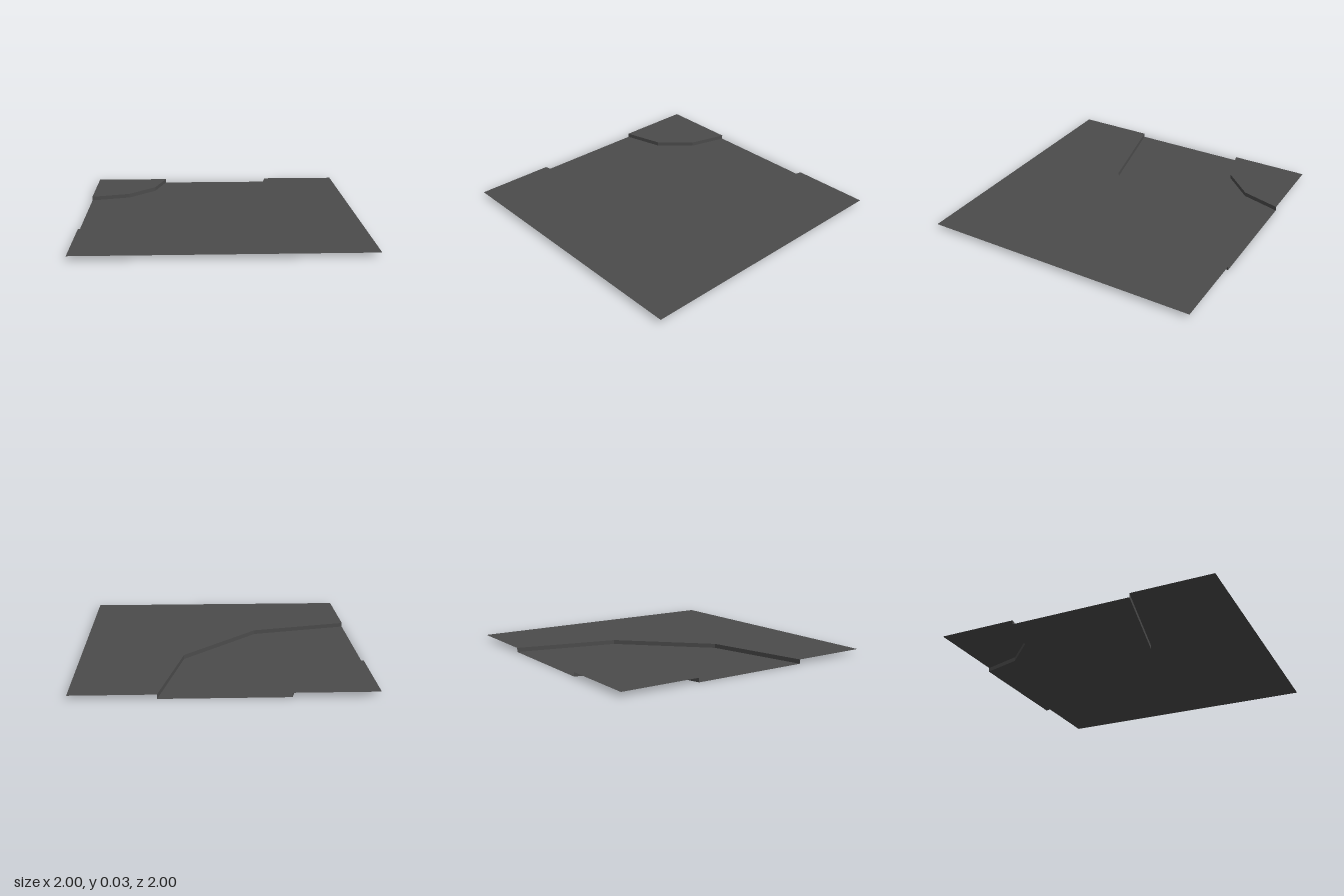
import * as THREE from 'three';

const HEIGHT = 0.03;

// Kerb lines as [x, z], running from the -x edge to the -z edge
const innerKerb = [[-1, -0.43], [-0.71, -0.51], [-0.51, -0.72], [-0.43, -1]];
const outerKerb = [[-1, 0.43], [-0.28, 0.265], [0.265, -0.28], [0.43, -1]];

// Flat sheet facing up, outlined by [x, z] points
function sheet(points, y) {
  const shape = new THREE.Shape(points.map(([x, z]) => new THREE.Vector2(x, -z)));
  return new THREE.ShapeGeometry(shape).rotateX(-Math.PI / 2).translate(0, y, 0);
}

// Vertical strip along a line of [x, z] points, one flat face per segment
function wall(points) {
  const pos = [];
  for (let i = 0; i < points.length - 1; i++) {
    const [ax, az] = points[i];
    const [bx, bz] = points[i + 1];
    pos.push(ax, 0, az, bx, 0, bz, bx, HEIGHT, bz);
    pos.push(ax, 0, az, bx, HEIGHT, bz, ax, HEIGHT, az);
  }
  const geo = new THREE.BufferGeometry();
  geo.setAttribute('position', new THREE.Float32BufferAttribute(pos, 3));
  geo.computeVertexNormals();
  return geo;
}

export function createModel() {
  const group = new THREE.Group();
  group.name = 'roadCorner';
  const asphalt = new THREE.MeshStandardMaterial({ color: 0x4b4b4b, side: THREE.DoubleSide });
  asphalt.name = 'asphaltGrey';

  const add = (name, geometry) => {
    const mesh = new THREE.Mesh(geometry, asphalt);
    mesh.name = name;
    group.add(mesh);
  };

  // Sunken road bend between the two kerbs
  add('road', sheet([...outerKerb, ...[...innerKerb].reverse()], 0));

  // Raised pavements on the inside and outside of the bend
  add('innerPavement', sheet([...innerKerb, [-1, -1]], HEIGHT));
  add('outerPavement', sheet([...outerKerb, [1, -1], [1, 1], [-1, 1]], HEIGHT));

  // Kerb faces, both looking onto the road
  add('innerKerb', wall(innerKerb));
  add('outerKerb', wall([...outerKerb].reverse()));

  return group;
}
